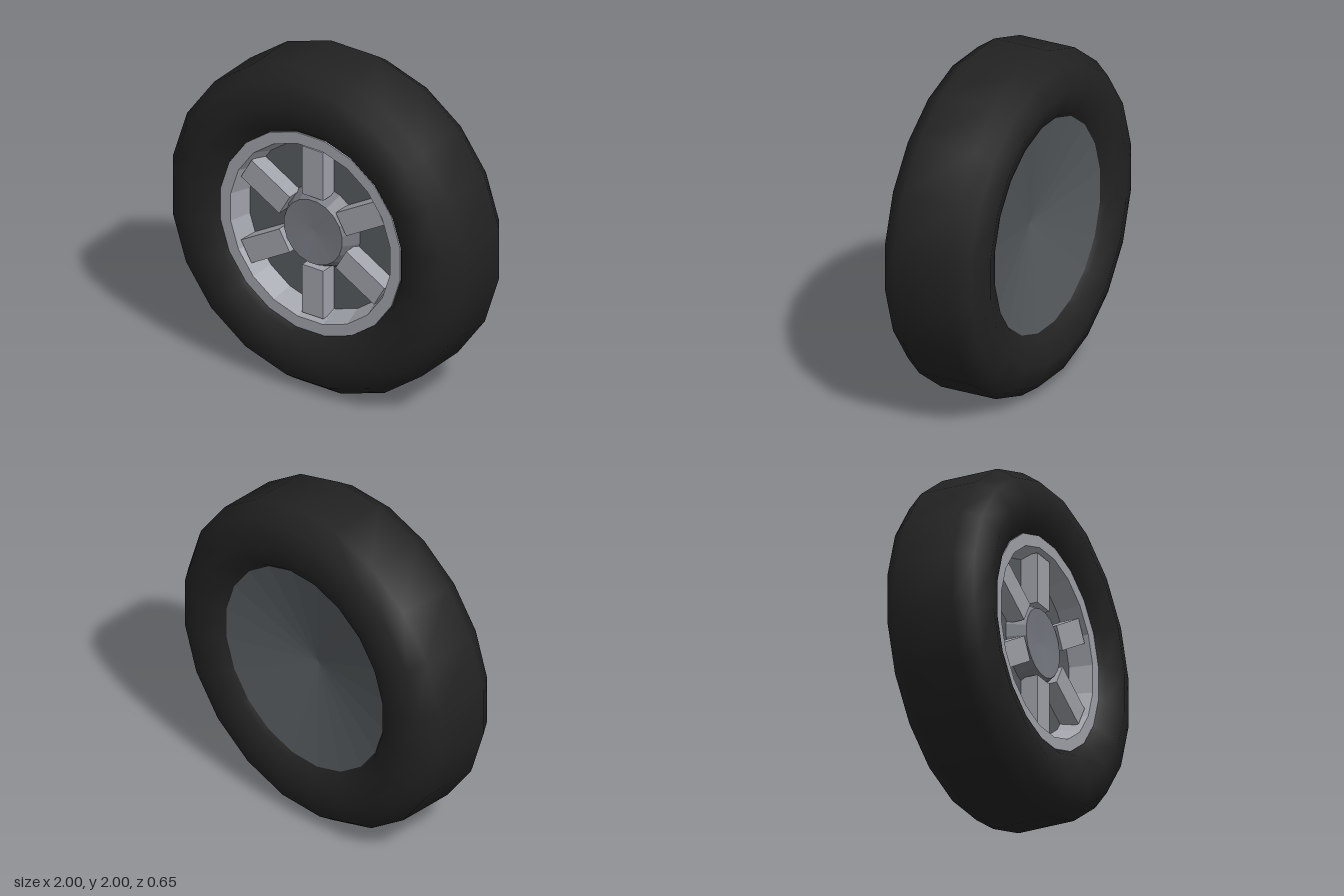
import * as THREE from 'three';

const SIDES = 20;

const paint = (name, color) => {
  const m = new THREE.MeshStandardMaterial({ color });
  m.name = name;
  return m;
};

// Turned part about the z axis. Points are [apothem, z], running back to front on the outside.
function turned(points, smooth, sides = SIDES) {
  const k = 1 / Math.cos(Math.PI / sides);
  const profile = points.map(([r, z]) => new THREE.Vector2(r * k, z));
  let geo = new THREE.LatheGeometry(profile, sides, Math.PI / sides);
  geo.rotateX(Math.PI / 2);
  if (!smooth) {
    geo = geo.toNonIndexed();
    geo.computeVertexNormals();
  }
  return geo;
}

export function createModel() {
  const rubber = paint('black rubber', 0x222222);
  const alloy = paint('light alloy', 0xa0a2aa);
  const steel = paint('grey steel', 0x777a82);
  const dark = paint('dark steel', 0x565b5e);

  const wheel = new THREE.Group();
  wheel.name = 'wheel';
  wheel.position.y = 1;
  const add = (name, geo, mat) => {
    const mesh = new THREE.Mesh(geo, mat);
    mesh.name = name;
    wheel.add(mesh);
    return mesh;
  };

  // Rounded tyre, mirrored front to back
  const half = [[1, 0.175], [0.93, 0.275], [0.79, 0.325], [0.65, 0.275], [0.58, 0.19]];
  const back = half.map(([r, z]) => [r, -z]).reverse();
  add('tyre', turned([...back, ...half], true), rubber);

  // Rim lip and tapered barrel
  add('rim', turned([[0.62, 0.2], [0.62, 0.248], [0.55, 0.248], [0.505, 0.11]], false), alloy);

  // Floor behind the spokes and dished back plate
  add('rimFloor', turned([[0.52, 0.12], [0, 0.12]], false), dark);
  add('backPlate', turned([[0, -0.14], [0.625, -0.246]], false), dark);

  // Tapered hub with a slightly dished cap
  add('hub', turned([[0.25, 0.12], [0.2, 0.222]], false), steel);
  add('hubCap', turned([[0.2, 0.222], [0, 0.21]], false), steel);

  // Six block spokes
  const spokeGeo = new THREE.BoxGeometry(0.145, 0.305, 0.125).translate(0, 0.3775, 0.1625);
  for (let i = 0; i < 6; i++) {
    add('spoke', spokeGeo, alloy).rotation.z = (i * Math.PI) / 3;
  }

  const model = new THREE.Group();
  model.name = 'model';
  model.add(wheel);
  return model;
}
